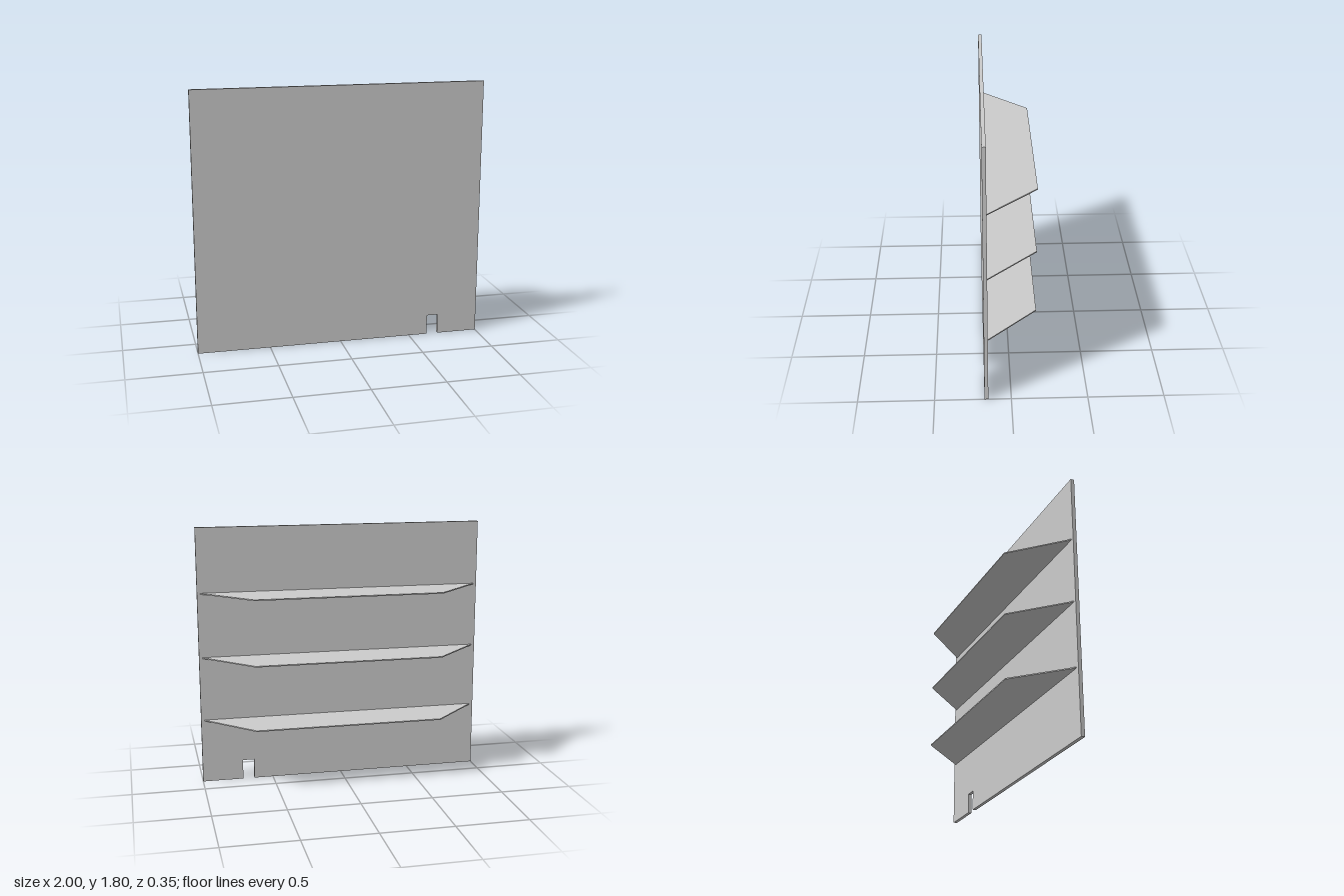
import * as THREE from 'three';

const H = 1.804;        // wall height
const FRONT = 0.175;    // front face of the wall
const BACK = 0.15;      // rear face of the wall
const SHELF = 0.008;    // shelf thickness

const material = new THREE.MeshStandardMaterial({ color: 0xcccccc, flatShading: true });

function extrude(name, points, depth) {
  const shape = new THREE.Shape(points.map(([x, y]) => new THREE.Vector2(x, y)));
  const geometry = new THREE.ExtrudeGeometry(shape, { depth, bevelEnabled: false });
  const mesh = new THREE.Mesh(geometry, material);
  mesh.name = name;
  return mesh;
}

export function createModel() {
  const group = new THREE.Group();
  group.name = 'wallWithShelves';

  // Wall panel with a small doorway open to the floor
  const wall = extrude('wall', [
    [-1, 0], [0.633, 0], [0.633, 0.139], [0.714, 0.139], [0.714, 0],
    [1, 0], [1, H], [-1, H],
  ], FRONT - BACK);
  wall.position.z = BACK;
  group.add(wall);

  // Three trapezoid shelves on the back, at each quarter of the height
  for (let i = 1; i <= 3; i++) {
    const shelf = extrude('shelf' + i, [
      [-0.977, -BACK], [0.977, -BACK], [0.65, FRONT], [-0.65, FRONT],
    ], SHELF);
    shelf.rotation.x = -Math.PI / 2; // shape y becomes -z
    shelf.position.y = (H * i) / 4 - SHELF / 2;
    group.add(shelf);
  }

  return group;
}
